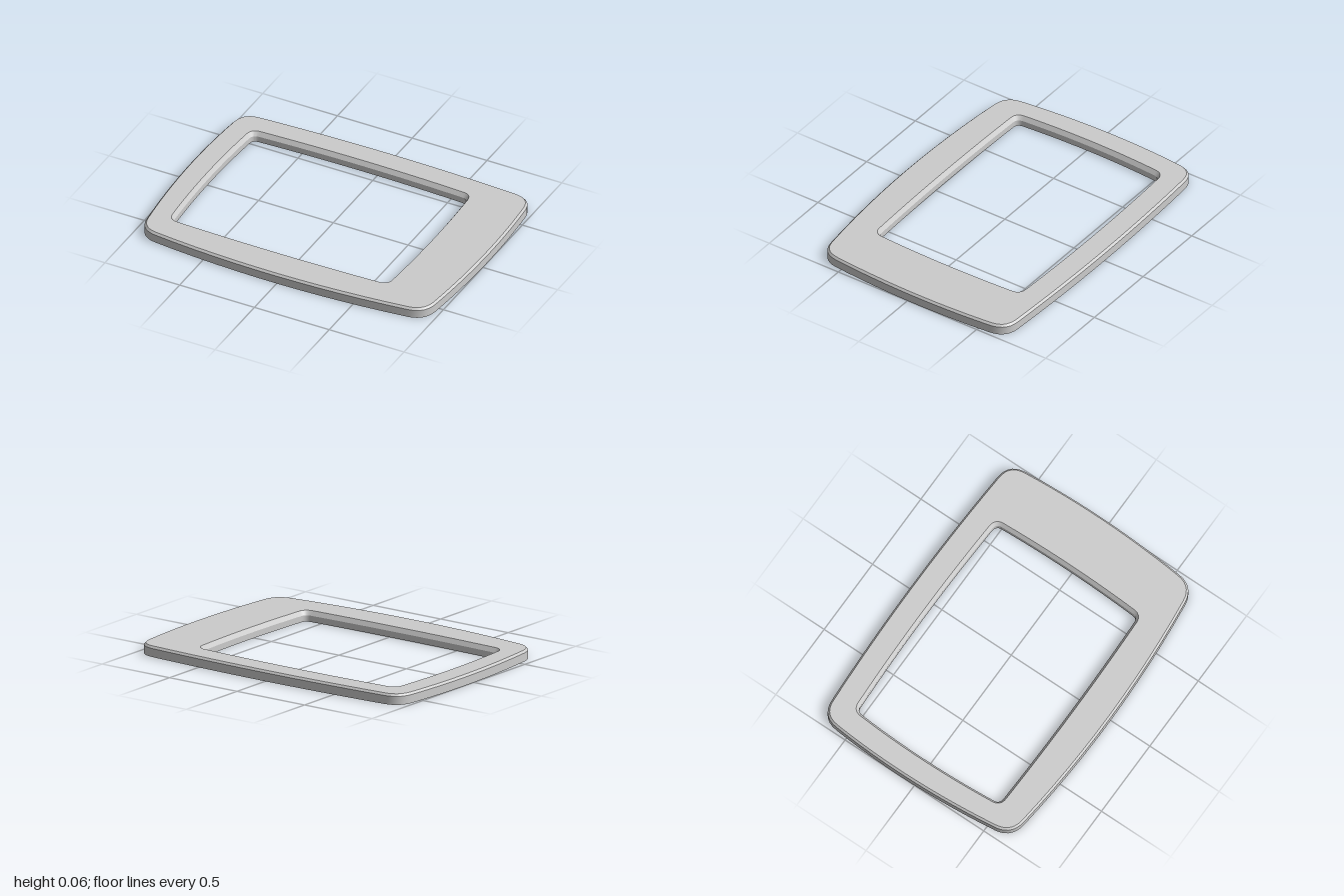
import * as THREE from 'three';
import { toCreasedNormals } from 'three/addons/utils/BufferGeometryUtils.js';

const V = (x, z) => new THREE.Vector2(x, z);

// Four-sided outline with bowed edges and rounded corners (clockwise from above).
// mids[i] is the middle of the edge from corners[i] to corners[i + 1].
function outline(corners, mids, radius) {
  const edges = corners.map((a, i) => {
    const b = corners[(i + 1) % 4];
    const ctrl = mids[i].clone().multiplyScalar(2).sub(a.clone().add(b).multiplyScalar(0.5));
    return new THREE.QuadraticBezierCurve(a, ctrl, b);
  });
  const pts = [];
  edges.forEach((edge, i) => {
    const t = radius / edge.getLength();
    for (let k = 0; k <= 12; k++) pts.push(edge.getPointAt(t + (1 - 2 * t) * k / 12));
    const next = edges[(i + 1) % 4];
    const arc = new THREE.QuadraticBezierCurve(
      edge.getPointAt(1 - t), corners[(i + 1) % 4], next.getPointAt(radius / next.getLength()));
    for (let k = 1; k < 7; k++) pts.push(arc.getPoint(k / 7));
  });
  return pts;
}

// Push an outline outwards by d (inwards when negative)
function offset(pts, d) {
  const n = pts.length;
  return pts.map((p, i) => {
    const dir = pts[(i + 1) % n].clone().sub(pts[(i + n - 1) % n]).normalize();
    return V(p.x + dir.y * d, p.y - dir.x * d);
  });
}

// Closed band through a list of rings [outline, height]
function loft(rings) {
  const n = rings[0][0].length, m = rings.length;
  const pos = [], idx = [];
  for (const [pts, y] of rings) for (const p of pts) pos.push(p.x, y, p.y);
  for (let k = 0; k < m; k++) {
    for (let i = 0; i < n; i++) {
      const a = k * n + i, b = k * n + (i + 1) % n;
      const c = ((k + 1) % m) * n + i, d = ((k + 1) % m) * n + (i + 1) % n;
      idx.push(a, c, b, b, c, d);
    }
  }
  const g = new THREE.BufferGeometry();
  g.setAttribute('position', new THREE.Float32BufferAttribute(pos, 3));
  g.setIndex(idx);
  return toCreasedNormals(g, 0.4);
}

export function createModel() {
  const group = new THREE.Group();
  group.name = 'bezel';

  const outer = outline(
    [V(-0.967, -0.69), V(0.967, -0.69), V(0.955, 0.65), V(-0.945, 0.66)],
    [V(0, -0.722), V(1, -0.03), V(0, 0.718), V(-1, -0.03)], 0.11);
  // Off-centre window, leaving a wide panel on the left side
  const inner = outline(
    [V(-0.822, -0.538), V(0.615, -0.538), V(0.612, 0.485), V(-0.818, 0.487)],
    [V(-0.1, -0.556), V(0.629, -0.03), V(-0.1, 0.499), V(-0.842, -0.03)], 0.04);

  const frame = new THREE.Mesh(
    loft([
      [outer, 0], [outer, 0.052], [offset(outer, -0.012), 0.065], // outer wall and chamfer
      [offset(inner, 0.018), 0.065], [inner, 0.038], [inner, 0],  // window bevel and wall
    ]),
    new THREE.MeshStandardMaterial({ color: 0xcccccc }));
  frame.name = 'frame';
  group.add(frame);
  return group;
}
